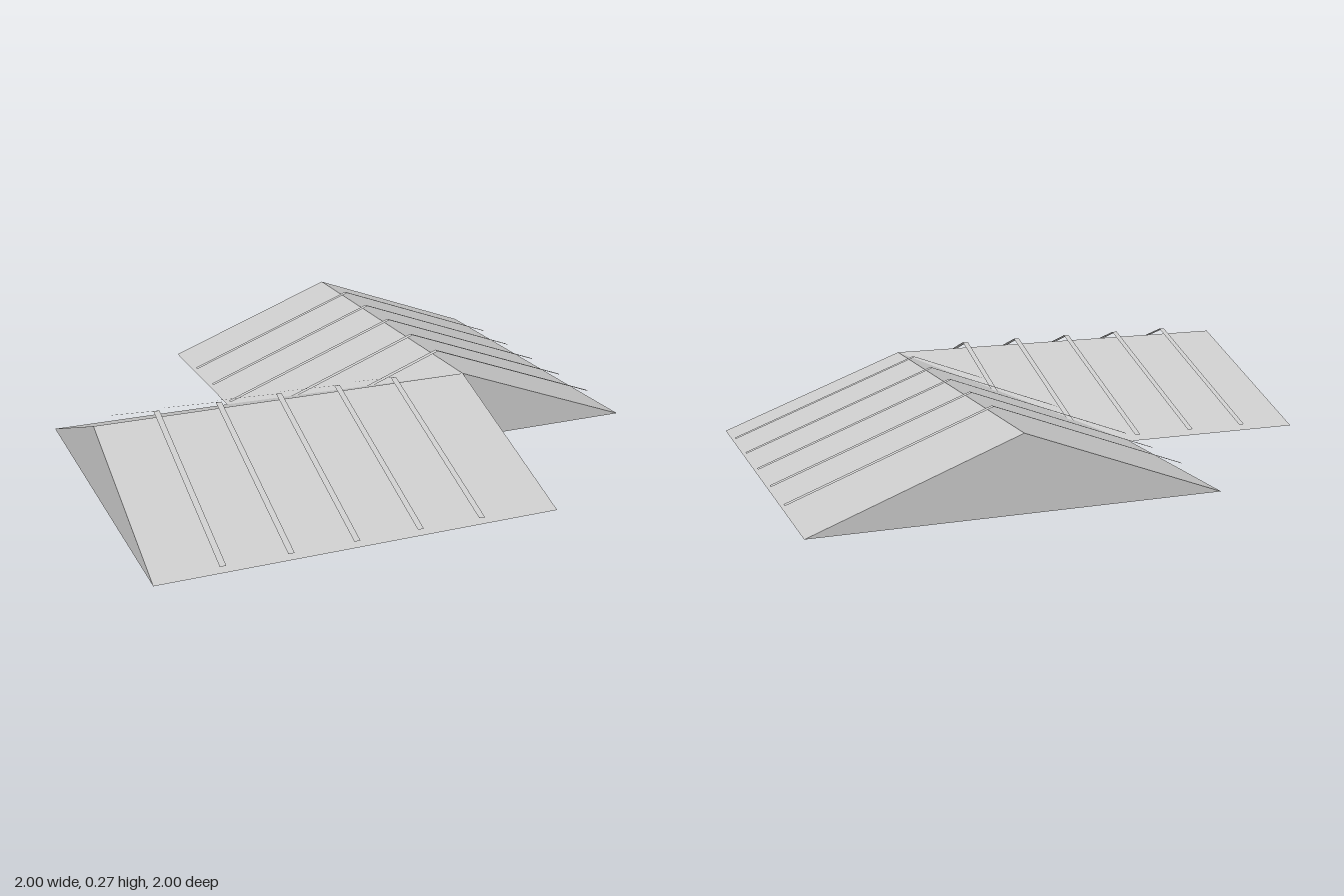
import * as THREE from 'three';

const LENGTH = 4 / 3; // along the ridge
const HALF = 2 / 3; // ridge to eave
const HEIGHT = 0.25;

// Flat convex face from corners listed counter-clockwise as seen from outside
function face(name, corners, material) {
  const points = [];
  for (let i = 1; i < corners.length - 1; i++) points.push(...corners[0], ...corners[i], ...corners[i + 1]);
  const geometry = new THREE.BufferGeometry();
  geometry.setAttribute('position', new THREE.Float32BufferAttribute(points, 3));
  geometry.computeVertexNormals();
  const mesh = new THREE.Mesh(geometry, material);
  mesh.name = name;
  return mesh;
}

// Pair of sloping strips meeting at the ridge, between x0 and x1, raised by lift
function slopes(name, x0, x1, lift, material) {
  const group = new THREE.Group();
  group.name = name;
  const top = HEIGHT + lift;
  group.add(
    face(name + 'Front', [[x0, lift, HALF], [x1, lift, HALF], [x1, top, 0], [x0, top, 0]], material),
    face(name + 'Back', [[x1, lift, -HALF], [x0, lift, -HALF], [x0, top, 0], [x1, top, 0]], material)
  );
  return group;
}

// Gabled roof wing, open underneath, with its ridge along x
function wing(name, material) {
  const group = new THREE.Group();
  group.name = name;
  const end = LENGTH / 2;
  group.add(slopes('roofSlope', -end, end, 0, material));
  group.add(
    face('gableStart', [[-end, 0, -HALF], [-end, 0, HALF], [-end, HEIGHT, 0]], material),
    face('gableEnd', [[end, 0, HALF], [end, 0, -HALF], [end, HEIGHT, 0]], material)
  );
  // Thin seam strips floating just above the slopes
  for (let i = 0; i < 5; i++) {
    const x = -0.457 + i * 0.2128;
    group.add(slopes('seam', x - 0.01, x + 0.01, 0.022, material));
  }
  return group;
}

export function createModel() {
  const roofGrey = new THREE.MeshStandardMaterial({ color: 0xcccccc, side: THREE.DoubleSide });
  roofGrey.name = 'roof grey';

  const model = new THREE.Group();
  model.name = 'cornerRoof';

  const frontWing = wing('frontWing', roofGrey);
  frontWing.position.set(-1 / 3, 0, 1 / 3);

  // Same wing turned a quarter, crossing the first at the valley
  const backWing = wing('backWing', roofGrey);
  backWing.rotation.y = Math.PI / 2;
  backWing.position.set(1 / 3, 0, -1 / 3);

  model.add(frontWing, backWing);
  return model;
}
